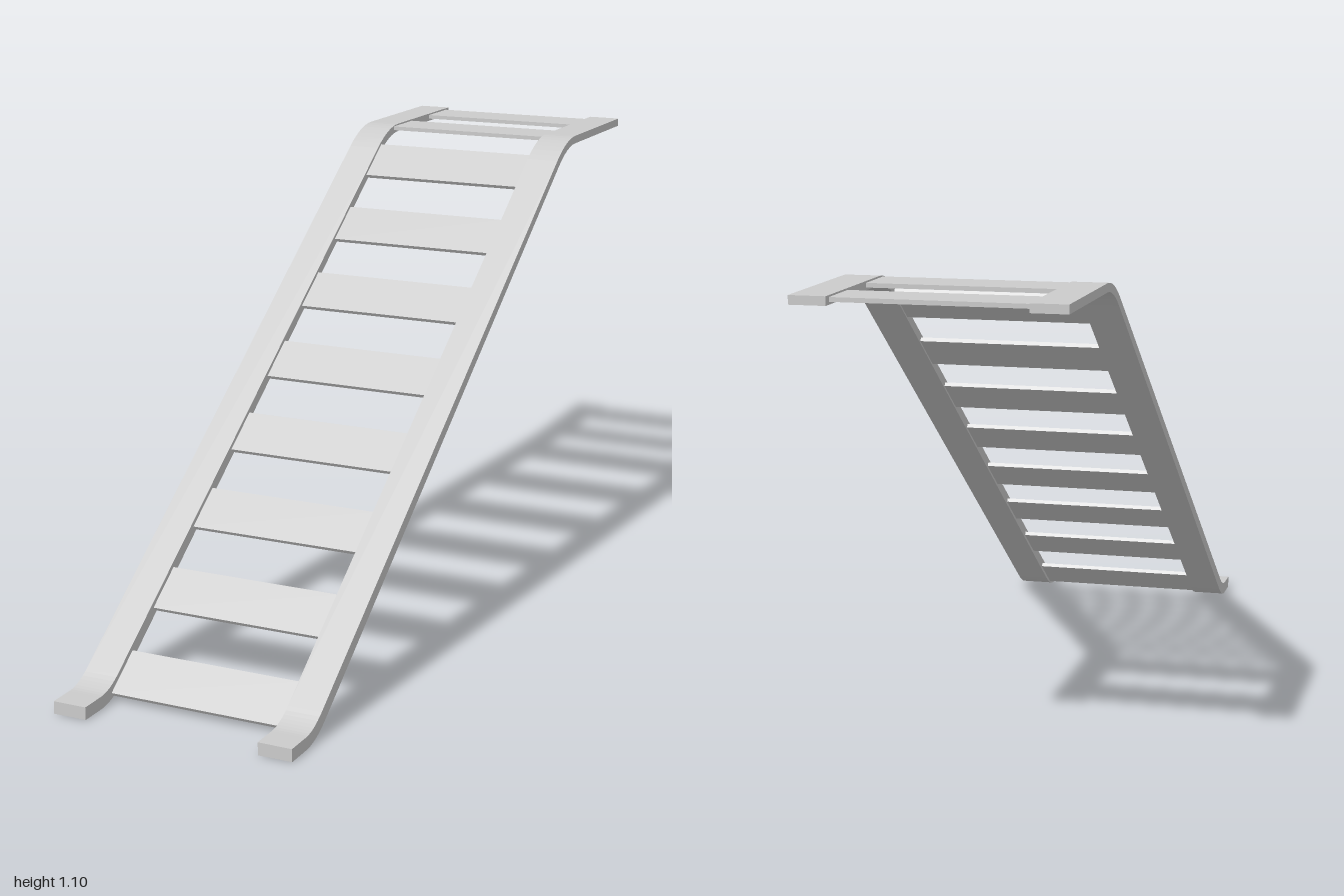
import * as THREE from 'three';

const SLOPE = 0.7225;
const rampY = z => 0.661 - SLOPE * z;
const FOOT_Y = 0.015, TOP_Y = 1.09;
const zAt = y => (0.661 - y) / SLOPE;

// Centre line of a rail as (z, y) points: flat foot, bend, ramp, bend, flat top
function railLine() {
  const bend = (a, corner, b) => new THREE.QuadraticBezierCurve(
    new THREE.Vector2(...a), new THREE.Vector2(...corner), new THREE.Vector2(...b)).getPoints(8);
  return [
    new THREE.Vector2(1, FOOT_Y),
    ...bend([0.935, FOOT_Y], [zAt(FOOT_Y), FOOT_Y], [0.85, rampY(0.85)]),
    ...bend([-0.53, rampY(-0.53)], [zAt(TOP_Y), TOP_Y], [-0.655, TOP_Y]),
    new THREE.Vector2(-1, TOP_Y),
  ];
}

// Thicken the centre line into a closed outline; the rail thins slightly upwards
function railGeometry(width) {
  const line = railLine();
  const upper = [], lower = [];
  line.forEach((p, i) => {
    const a = line[Math.max(i - 1, 0)], b = line[Math.min(i + 1, line.length - 1)];
    const dir = b.clone().sub(a).normalize();
    const half = 0.015 - 0.005 * THREE.MathUtils.clamp(p.y / TOP_Y, 0, 1);
    const normal = new THREE.Vector2(dir.y, -dir.x).multiplyScalar(half);
    upper.push(p.clone().sub(normal));
    lower.push(p.clone().add(normal));
  });
  const shape = new THREE.Shape([...upper, ...lower.reverse()]);
  const geo = new THREE.ExtrudeGeometry(shape, { depth: width, bevelEnabled: false });
  geo.translate(0, 0, -width / 2);
  geo.rotateY(-Math.PI / 2);
  return geo;
}

export function createModel() {
  const group = new THREE.Group();
  const material = new THREE.MeshStandardMaterial({ color: 0xcccccc });

  // Side rails
  const rail = railGeometry(0.082);
  for (const side of [1, -1]) {
    const mesh = new THREE.Mesh(rail, material);
    mesh.name = side > 0 ? 'leftRail' : 'rightRail';
    mesh.position.x = side * 0.256;
    group.add(mesh);
  }

  // Slats between the rails
  const slat = new THREE.BoxGeometry(0.434, 0.01, 0.117);
  const addSlat = (name, y, z, tilt) => {
    const mesh = new THREE.Mesh(slat, material);
    mesh.name = name;
    mesh.position.set(0, y, z);
    mesh.rotation.x = tilt;
    group.add(mesh);
  };
  for (let i = 0; i < 8; i++) {
    const z = 0.84 - i * 0.1915;
    addSlat(`rampSlat${i + 1}`, rampY(z) - 0.002, z, Math.atan(SLOPE));
  }
  [-0.685, -0.922].forEach((z, i) => addSlat(`platformSlat${i + 1}`, 1.091, z, 0));

  return group;
}
